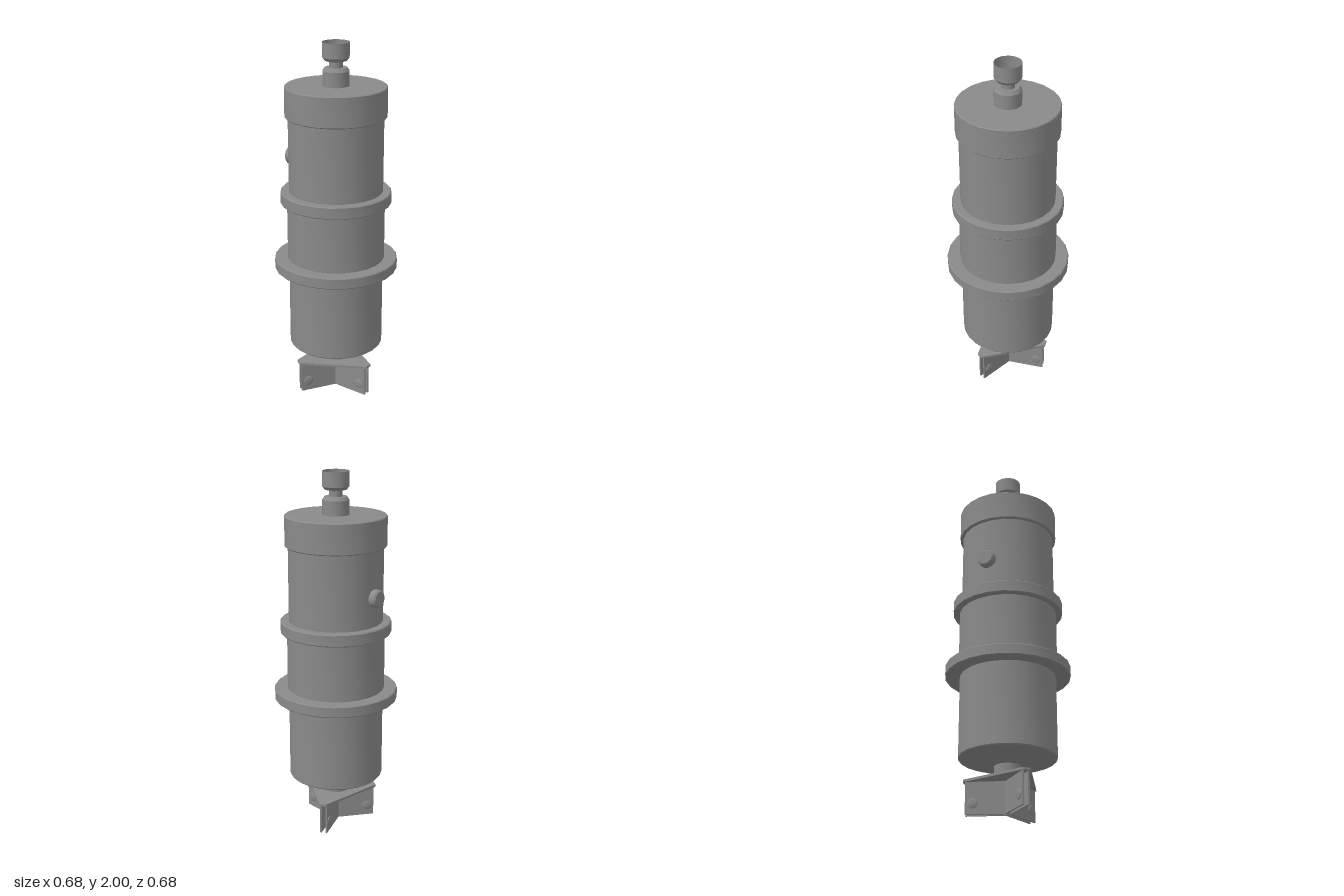
import * as THREE from 'three';
import { toCreasedNormals } from 'three/addons/utils/BufferGeometryUtils.js';

const grey = new THREE.MeshStandardMaterial({ color: 0x8a8a8a });
const greyOpen = new THREE.MeshStandardMaterial({ color: 0x8a8a8a, side: THREE.DoubleSide });

// Turned part from [radius, height] pairs listed bottom to top
function turned(name, profile, material = grey, sides = 24) {
  const points = profile.map(([r, y]) => new THREE.Vector2(r, y));
  const geometry = toCreasedNormals(new THREE.LatheGeometry(points, sides), 0.5);
  const mesh = new THREE.Mesh(geometry, material);
  mesh.name = name;
  return mesh;
}

// Closed disc or drum with small bevels on both rims
function drum(name, r, y0, y1, b = 0.005) {
  return turned(name, [
    [0, y0], [r - b, y0], [r, y0 + b], [r, y1 - b], [r - b, y1], [0, y1],
  ]);
}

function createBracket() {
  const bracket = new THREE.Group();
  bracket.name = 'mountingBracket';
  const arms = [0, 1, 2].map((i) => (i * 2 * Math.PI) / 3);

  // Triangular top plate with clipped corners
  const corners = [];
  for (const a of arms) {
    for (const w of [-0.02, 0.02]) {
      corners.push(new THREE.Vector2(
        0.232 * Math.cos(a) - w * Math.sin(a),
        0.232 * Math.sin(a) + w * Math.cos(a)));
    }
  }
  const plateGeometry = new THREE.ExtrudeGeometry(
    new THREE.Shape(corners), { depth: 0.013, bevelEnabled: false });
  plateGeometry.rotateX(Math.PI / 2);
  const topPlate = new THREE.Mesh(plateGeometry, grey);
  topPlate.name = 'bracketTopPlate';
  topPlate.position.y = 0.185;
  bracket.add(topPlate);

  // Three arms, each a pair of parallel plates with a bolt head outside
  for (const a of arms) {
    const arm = new THREE.Group();
    arm.name = 'bracketArm';
    arm.rotation.y = -a;
    for (const side of [-1, 1]) {
      const plate = new THREE.Mesh(new THREE.BoxGeometry(0.21, 0.174, 0.009), grey);
      plate.name = 'armPlate';
      plate.position.set(0.115, 0.087, side * 0.0155);
      arm.add(plate);

      const bolt = turned('boltHead', [
        [0, 0], [0.028, 0], [0.028, 0.004], [0.022, 0.007], [0.011, 0.009], [0, 0.0095],
      ], grey, 12);
      bolt.rotation.x = side * Math.PI / 2;
      bolt.position.set(0.18, 0.06, side * 0.019);
      arm.add(bolt);
    }
    bracket.add(arm);
  }
  return bracket;
}

export function createModel() {
  const model = new THREE.Group();
  model.name = 'canister';

  // Body sections
  model.add(
    turned('lowerBody', [
      [0, 0.253], [0.07, 0.253], [0.257, 0.29], [0.262, 0.296], [0.262, 0.76], [0, 0.76],
    ]),
    drum('middleBody', 0.269, 0.79, 1.15),
    drum('upperBody', 0.258, 1.17, 1.63),
    drum('lowerFlange', 0.341, 0.747, 0.81),
    drum('upperFlange', 0.304, 1.127, 1.195),
    drum('cap', 0.275, 1.604, 1.771),
    drum('bottomNeck', 0.072, 0.175, 0.275, 0.002),
  );

  // Top fitting: collar, stem showing through the floor of an open cup
  model.add(
    turned('collar', [[0, 1.765], [0.072, 1.765], [0.072, 1.85], [0.06, 1.867], [0, 1.867]]),
    turned('stem', [[0.036, 1.86], [0.036, 1.905], [0, 1.905]]),
    turned('cup', [[0.036, 1.903], [0.059, 1.903], [0.072, 1.92], [0.072, 2]], greyOpen),
  );

  // Side button, facing out from the upper body
  const button = new THREE.Group();
  button.name = 'sideButton';
  const disc = drum('buttonDisc', 0.048, 0.245, 0.294, 0.008);
  disc.rotation.x = Math.PI / 2;
  button.add(disc);
  button.position.y = 1.355;
  button.rotation.y = -(Math.PI / 2 - 0.183);
  model.add(button);

  model.add(createBracket());
  return model;
}
